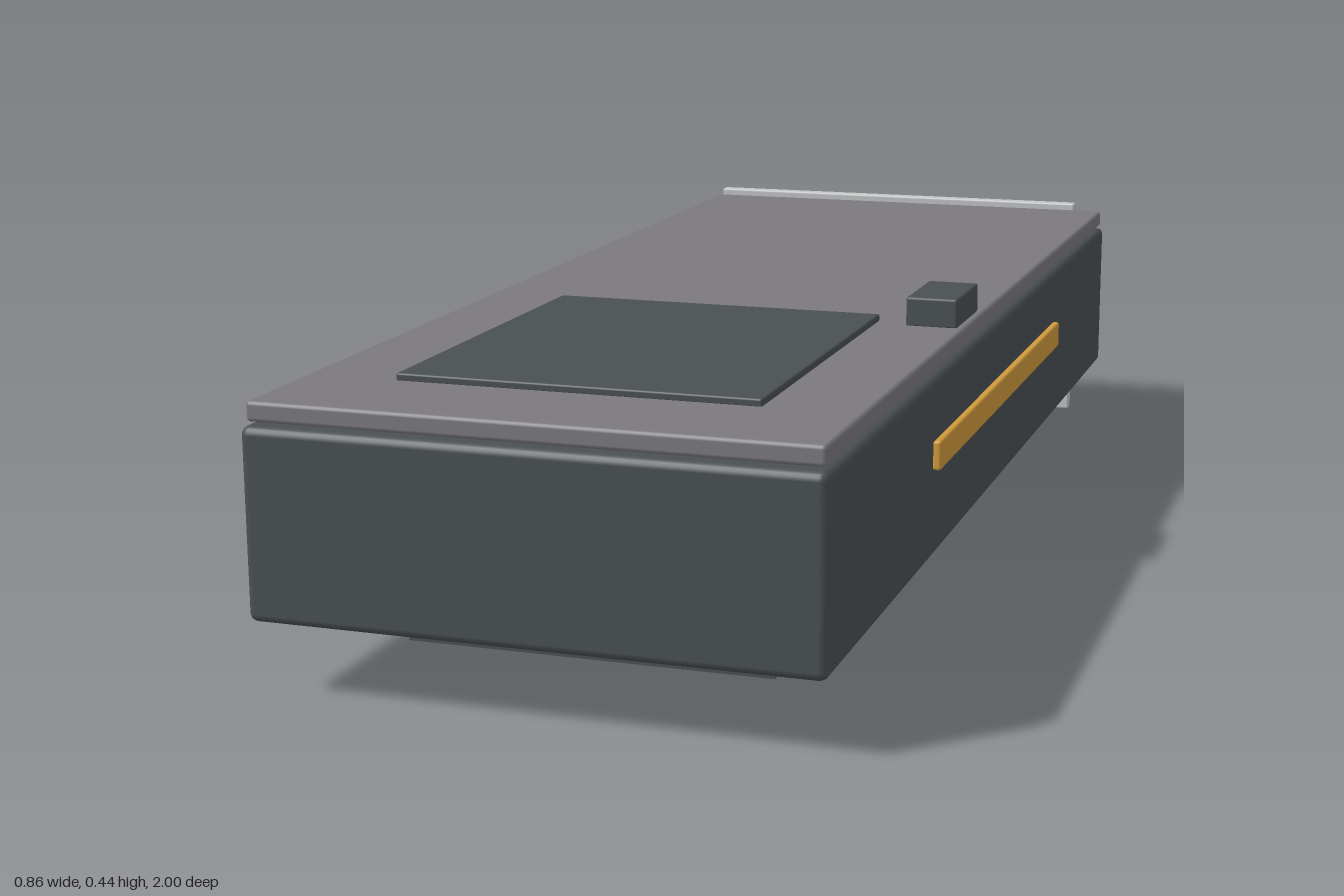
import * as THREE from 'three';
import { RoundedBoxGeometry } from 'three/addons/geometries/RoundedBoxGeometry.js';

const material = (name, color) => {
  const m = new THREE.MeshStandardMaterial({ color });
  m.name = name;
  return m;
};

export function createModel() {
  const charcoal = material('charcoal', 0x4a5052);
  const grey = material('warm grey', 0x7b797d);
  const silver = material('silver', 0xc2c3c4);
  const gold = material('gold', 0xd09a3c);

  const card = new THREE.Group();
  card.name = 'expansionCard';

  const add = (parent, name, geometry, mat) => {
    const mesh = new THREE.Mesh(geometry, mat);
    mesh.name = name;
    parent.add(mesh);
    return mesh;
  };

  // Box given by its limits on each axis, with optionally softened edges
  const block = (name, mat, [x0, x1], [y0, y1], [z0, z1], r = 0) => {
    const size = [x1 - x0, y1 - y0, z1 - z0];
    const geometry = r ? new RoundedBoxGeometry(...size, 2, r) : new THREE.BoxGeometry(...size);
    add(card, name, geometry, mat).position.set((x0 + x1) / 2, (y0 + y1) / 2, (z0 + z1) / 2);
  };

  // Casing and plates
  block('shroud', charcoal, [-0.375, 0.415], [0.105, 0.37], [-0.97, 1.0], 0.012);
  block('backplate', grey, [-0.37, 0.41], [0.374, 0.402], [-0.965, 0.99], 0.006);
  block('ventPanel', charcoal, [-0.237, 0.276], [0.4, 0.412], [0.225, 0.82], 0.003);
  block('mountingBracket', silver, [-0.368, 0.355], [0, 0.412], [-1.0, -0.977], 0.004);

  // Connectors and trim
  block('powerSocket', charcoal, [0.322, 0.4], [0.4, 0.445], [0.105, 0.25], 0.004);
  block('edgeConnector', gold, [-0.432, -0.37], [0.195, 0.22], [-0.49, 0.21]);
  block('trimStrip', gold, [0.417, 0.429], [0.24, 0.283], [-0.44, 0.465], 0.004);

  // Flat outline extruded to a horizontal slab centred on y = 0
  const slab = (shape, depth) =>
    new THREE.ExtrudeGeometry(shape, { depth, bevelEnabled: false, curveSegments: 24 })
      .translate(0, 0, -depth / 2)
      .rotateX(-Math.PI / 2);

  const square = (h) => [[-h, -h], [h, -h], [h, h], [-h, h]].map(([x, y]) => new THREE.Vector2(x, y));

  // Square fan frame
  const frameShape = new THREE.Shape(square(0.26));
  frameShape.holes.push(new THREE.Path(square(0.238)));
  const frameGeometry = slab(frameShape, 0.028);

  // Round duct inside the frame
  const ductShape = new THREE.Shape().absarc(0, 0, 0.24, 0, Math.PI * 2);
  ductShape.holes.push(new THREE.Path().absarc(0, 0, 0.222, 0, Math.PI * 2, true));
  const ductGeometry = slab(ductShape, 0.024);

  // Pitched blade, widening outwards
  const bladeShape = new THREE.Shape([
    new THREE.Vector2(0.06, -0.018), new THREE.Vector2(0.21, -0.037),
    new THREE.Vector2(0.21, 0.037), new THREE.Vector2(0.06, 0.018),
  ]);
  const bladeGeometry = slab(bladeShape, 0.004).rotateX(0.22);
  const hubGeometry = new THREE.CylinderGeometry(0.075, 0.075, 0.024, 32);

  const BLADES = 11;
  for (const z of [0.58, 0.015, -0.55]) {
    const fan = new THREE.Group();
    fan.name = 'fan';
    fan.position.set(0.04, 0.059, z);
    add(fan, 'fanFrame', frameGeometry, charcoal);
    add(fan, 'fanDuct', ductGeometry, charcoal);
    add(fan, 'fanHub', hubGeometry, silver);
    for (let i = 0; i < BLADES; i++) {
      add(fan, 'fanBlade', bladeGeometry, charcoal).rotation.y = (i / BLADES) * Math.PI * 2;
    }
    card.add(fan);
  }
  return card;
}
